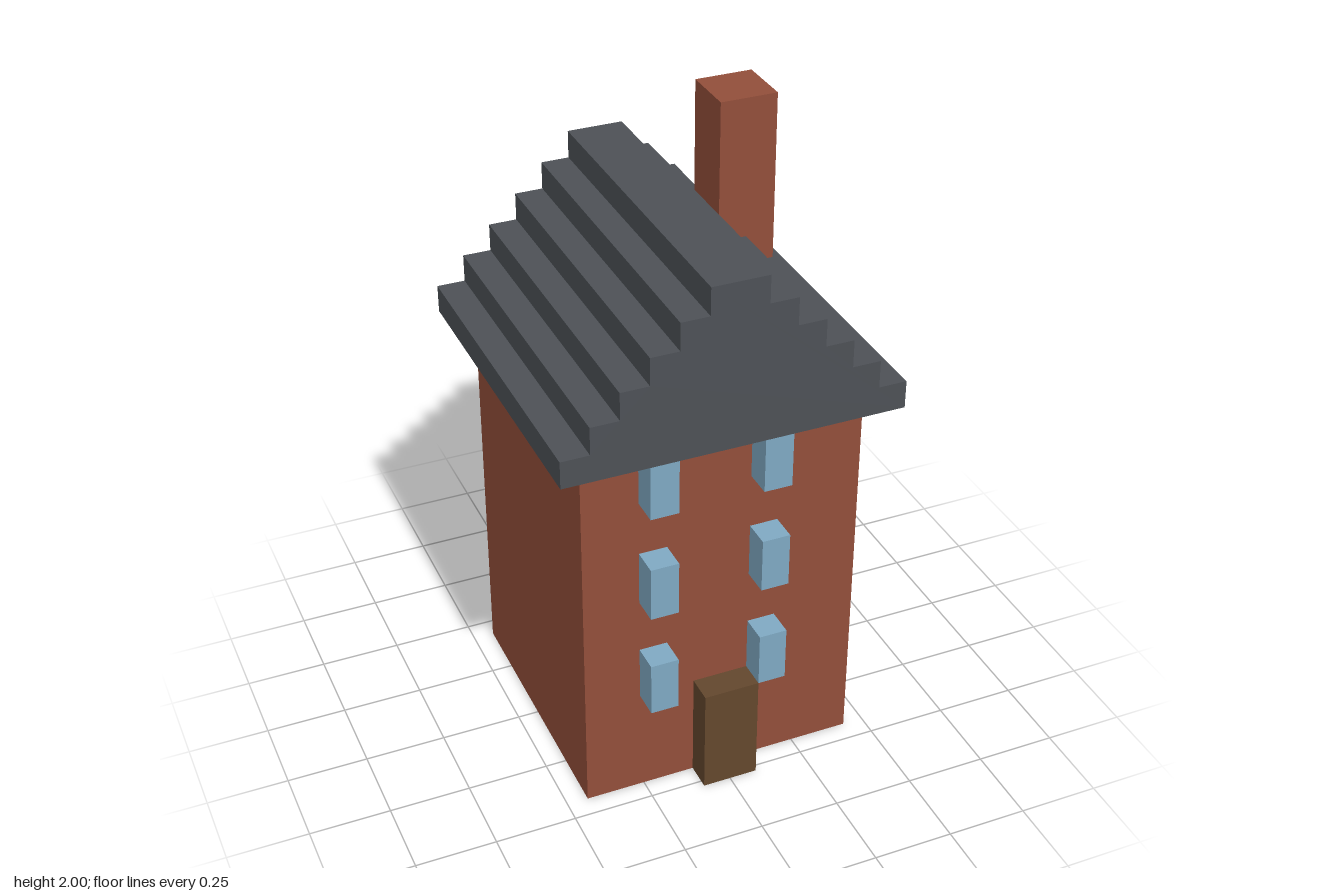
import * as THREE from 'three';

const U = 2 / 23; // one block

const material = (name, color) => {
  const m = new THREE.MeshStandardMaterial({ color });
  m.name = name;
  return m;
};

export function createModel() {
  const brick = material('brick red', 0x924e3a);
  const slate = material('slate grey', 0x4d5156);
  const glass = material('window blue', 0x7fa9c3);
  const wood = material('door brown', 0x63472d);

  const house = new THREE.Group();
  house.name = 'house';

  // Box from its low and high corners, in blocks
  const box = (name, mat, [x0, y0, z0], [x1, y1, z1]) => {
    const mesh = new THREE.Mesh(
      new THREE.BoxGeometry((x1 - x0) * U, (y1 - y0) * U, (z1 - z0) * U), mat);
    mesh.position.set((x0 + x1) / 2, (y0 + y1) / 2, (z0 + z1) / 2).multiplyScalar(U);
    mesh.name = name;
    house.add(mesh);
  };

  box('walls', brick, [-5, 0, -5], [5, 14, 5]);
  box('door', wood, [-1, 0, 5], [1, 4, 6]);

  // Projecting windows, three storeys, front and back
  for (const y of [4, 8, 12]) {
    for (const x of [-3, 1]) {
      box('frontWindow', glass, [x, y, 5], [x + 1, y + 2, 6]);
      box('backWindow', glass, [x, y, -6], [x + 1, y + 2, -5]);
    }
  }

  // Stepped gable roof: six steps up the right side, mirrored on the left
  const right = [];
  for (let i = 0; i < 6; i++) {
    right.push(new THREE.Vector2((6 - i) * U, (14 + i) * U));
    right.push(new THREE.Vector2((6 - i) * U, (15 + i) * U));
  }
  const left = right.map((p) => new THREE.Vector2(-p.x, p.y)).reverse();
  const roofGeometry = new THREE.ExtrudeGeometry(
    new THREE.Shape([...right, ...left]), { depth: 12 * U, bevelEnabled: false });
  roofGeometry.translate(0, 0, -6 * U);
  const roof = new THREE.Mesh(roofGeometry, slate);
  roof.name = 'roof';
  house.add(roof);

  // Chimney, a hair proud of the roof step it is flush with
  box('chimney', brick, [2, 16, -2], [4.02, 23, 0]);

  return house;
}
